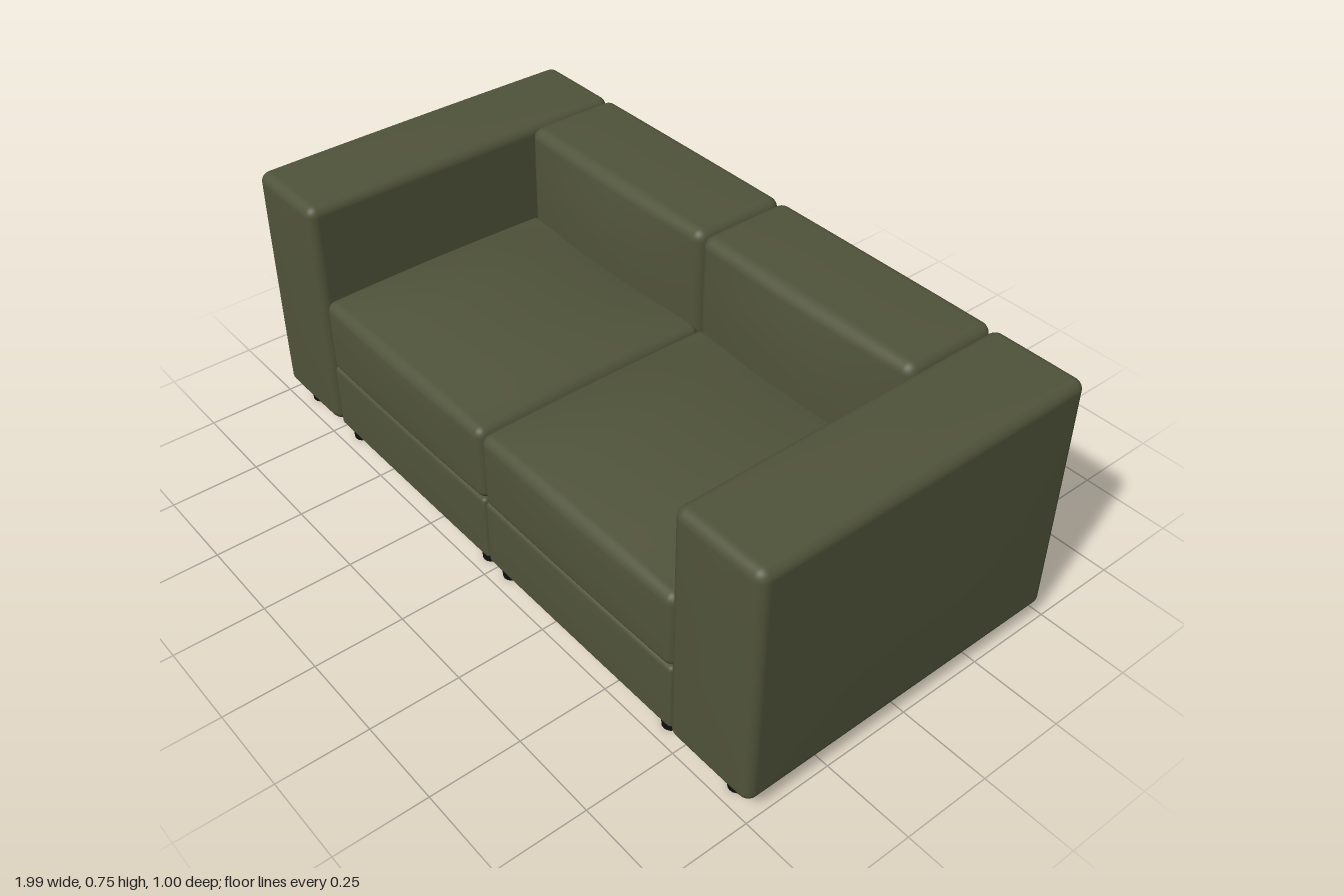
import * as THREE from 'three';
import { mergeVertices } from 'three/addons/utils/BufferGeometryUtils.js';

const fabric = new THREE.MeshStandardMaterial({ color: 0x50533a });
fabric.name = 'olive fabric';
const black = new THREE.MeshStandardMaterial({ color: 0x0e0e0e });
black.name = 'black plastic';

const N = 18, EDGE = 5; // grid steps per side, and how many lie in each rounded edge

// Rounded, softly stuffed box between min and max corners.
// puff gives the swelling of each face: [-x, +x, -y, +y, -z, +z]
function paddedBox(name, min, max, r, puff) {
  const half = min.map((m, i) => (max[i] - m) / 2);
  const mid = min.map((m, i) => (max[i] + m) / 2);
  let geo = new THREE.BoxGeometry(2, 2, 2, N, N, N);
  geo.deleteAttribute('uv');
  geo.deleteAttribute('normal');
  geo = mergeVertices(geo, 1e-4);

  // crowd grid lines into the rounded edges
  const place = (u, h) => {
    const k = Math.round((u + 1) / 2 * N);
    const e = Math.min(k, N - k);
    if (e < EDGE) return Math.sign(u) * (h - r + r * Math.tan((1 - e / EDGE) * Math.PI / 4));
    return (k - N / 2) / (N / 2 - EDGE) * (h - r);
  };

  const pos = geo.attributes.position;
  for (let i = 0; i < pos.count; i++) {
    const p = [pos.getX(i), pos.getY(i), pos.getZ(i)].map((u, a) => place(u, half[a]));
    const core = p.map((v, a) => THREE.MathUtils.clamp(v, r - half[a], half[a] - r));
    const dir = new THREE.Vector3(...p.map((v, a) => v - core[a])).setLength(r);
    const q = core.map((v, a) => v + dir.getComponent(a));
    const n = q.map((v, a) => v / half[a]);
    const out = q.map((v, a) => {
      const b = n[(a + 1) % 3], c = n[(a + 2) % 3];
      const swell = (1 - b * b) * (1 - c ** 4);
      const amount = n[a] < 0 ? -puff[2 * a] : puff[2 * a + 1];
      return v + amount * swell * Math.abs(n[a]) + mid[a];
    });
    pos.setXYZ(i, ...out);
  }
  geo.computeVertexNormals();
  const mesh = new THREE.Mesh(geo, fabric);
  mesh.name = name;
  return mesh;
}

export function createModel() {
  const sofa = new THREE.Group();
  sofa.name = 'sofa';

  const legGeo = new THREE.CylinderGeometry(0.026, 0.023, 0.05, 16);
  const addLeg = (x, z) => {
    const leg = new THREE.Mesh(legGeo, black);
    leg.name = 'leg';
    leg.position.set(x, 0.025, z);
    sofa.add(leg);
  };

  // span along x, mirrored for the right-hand side
  const span = (s, a, b) => (s > 0 ? [a, b] : [-b, -a]);

  for (const s of [1, -1]) {
    const side = s > 0 ? 'left' : 'right';

    // arm block
    const [a0, a1] = span(s, 0.722, 0.993);
    sofa.add(paddedBox(side + 'Arm', [a0, 0.042, -0.495], [a1, 0.742, 0.494], 0.028,
      [0.004, 0.004, 0, 0.006, 0.005, 0.005]));

    const [x0, x1] = span(s, 0.001, 0.721);

    // backrest with a rounded, swollen front
    sofa.add(paddedBox(side + 'Backrest', [x0, 0.042, -0.497], [x1, 0.744, -0.212], 0.03,
      [0, 0, 0, 0.004, 0.003, 0.026]));

    // seat base and crowned seat cushion
    sofa.add(paddedBox(side + 'SeatBase', [x0, 0.042, -0.215], [x1, 0.243, 0.484], 0.012,
      [0, 0, 0, 0, 0, 0.003]));
    sofa.add(paddedBox(side + 'SeatCushion', [x0, 0.238, -0.225], [x1, 0.46, 0.485], 0.025,
      [0, 0, 0, 0.04, 0, 0.008]));

    // feet under the arm and the seat module
    for (const z of [0.445, -0.45]) addLeg(s * 0.91, z);
    for (const z of [0.445, -0.178, -0.45]) {
      addLeg(s * 0.045, z);
      addLeg(s * 0.68, z);
    }
  }
  return sofa;
}
